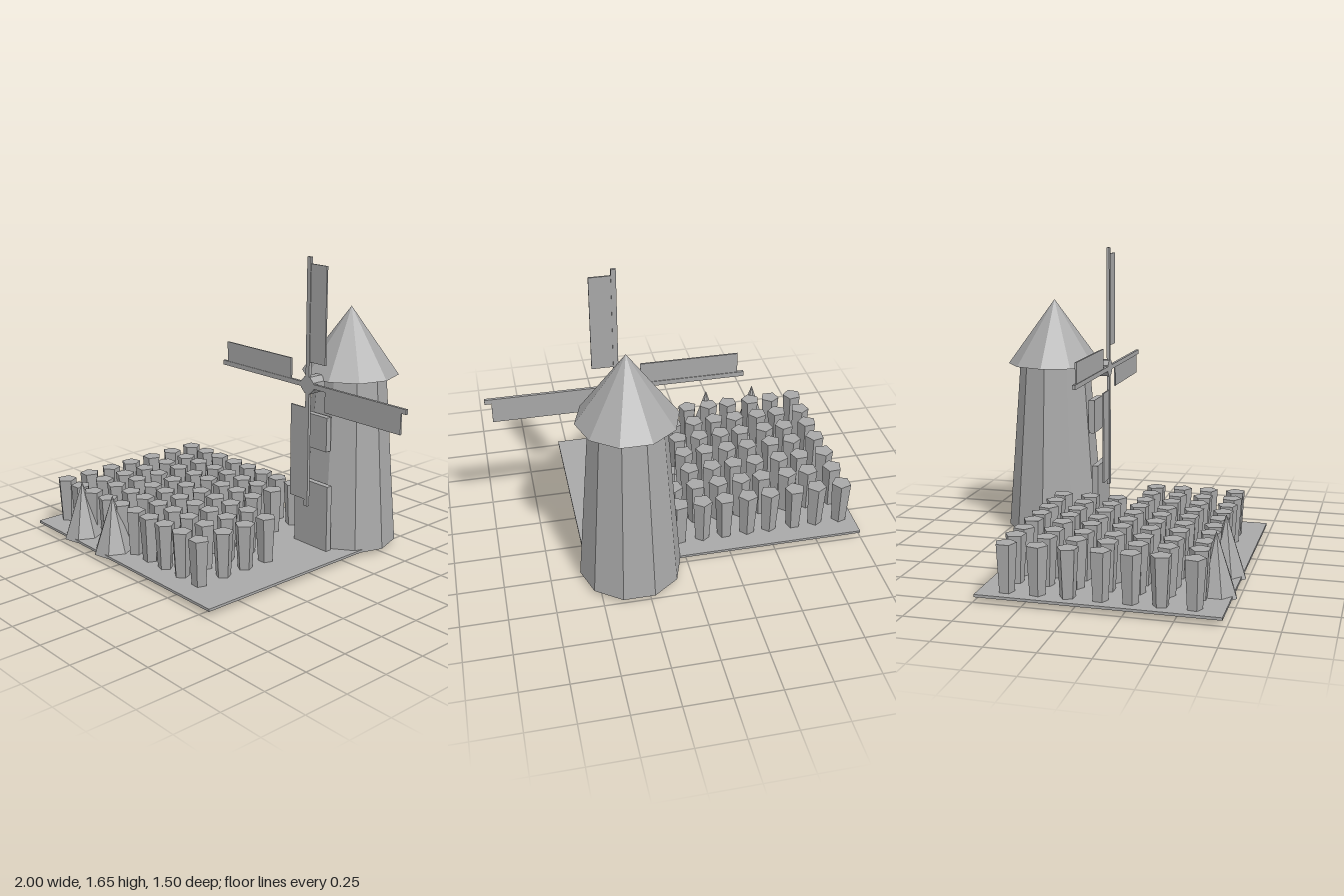
import * as THREE from 'three';

export function createModel() {
  const root = new THREE.Group();
  root.name = 'windmillField';
  const stone = new THREE.MeshStandardMaterial({ color: 0xa8a8a8, flatShading: true });
  stone.name = 'plain grey';

  const add = (parent, name, geometry, x, y, z) => {
    const mesh = new THREE.Mesh(geometry, stone);
    mesh.name = name;
    mesh.position.set(x, y, z);
    parent.add(mesh);
    return mesh;
  };
  const box = (w, h, d) => new THREE.BoxGeometry(w, h, d);

  // Ground slab
  add(root, 'ground', box(1.55, 0.014, 1.222), -0.223, 0.034, 0.117);

  // Tapered ten-sided tower with a pointed roof
  const mill = new THREE.Group();
  mill.name = 'mill';
  mill.position.set(0.314, 0, -0.491);
  root.add(mill);
  const tower = new THREE.CylinderGeometry(0.2, 0.276, 0.966, 10).rotateY(Math.PI / 10);
  add(mill, 'tower', tower, 0, 0.507, 0);
  const roof = new THREE.ConeGeometry(0.267, 0.368, 10).rotateY(Math.PI / 10);
  add(mill, 'roof', roof, 0, 1.17, 0);
  add(mill, 'door', box(0.25, 0.415, 0.034), 0, 0.2075, 0.273);
  add(mill, 'window', box(0.16, 0.192, 0.034), 0, 0.692, 0.241);

  // Rotor: axle and four arms, each with a sail on its clockwise side
  const rotor = new THREE.Group();
  rotor.name = 'rotor';
  rotor.position.set(0.314, 0.968, -0.169);
  root.add(rotor);
  const axle = new THREE.CylinderGeometry(0.05, 0.05, 0.088, 8).rotateY(Math.PI / 8).rotateX(Math.PI / 2);
  add(rotor, 'axle', axle, 0, 0, -0.036);
  for (let i = 0; i < 4; i++) {
    const arm = new THREE.Group();
    arm.name = 'arm';
    arm.rotation.z = i * Math.PI / 2;
    rotor.add(arm);
    add(arm, 'spar', box(0.026, 0.685, 0.016), 0, 0.3425, 0);
    add(arm, 'sail', box(0.126, 0.522, 0.009), 0.063, 0.389, 0);
  }

  // Crop rows: five-sided stalks, wider at the top
  const columns = [-0.915, -0.77, -0.645, -0.5, -0.375, -0.245, -0.115, 0.015, 0.155, 0.3];
  const rows = [-0.355, -0.195, -0.04, 0.12, 0.27, 0.42, 0.58];
  const stalk = new THREE.CylinderGeometry(0.056, 0.04, 0.266, 5).rotateY(Math.PI / 2);
  const crops = new THREE.Group();
  crops.name = 'crops';
  root.add(crops);
  rows.forEach((z, r) => {
    // The back rows stop short of the mill
    const count = r < 3 ? 8 : 10;
    for (let c = 0; c < count; c++) {
      const plant = add(crops, 'stalk', stalk, columns[c], 0.157, z);
      plant.rotation.y = 0.3 * Math.sin(c * 2.3 + r * 4.1);
    }
  });

  // Two pointed trees at the front edge
  const cone = new THREE.ConeGeometry(0.113, 0.327, 7).rotateY(Math.PI / 2);
  for (const x of [-0.668, -0.374]) add(root, 'tree', cone, x, 0.1875, 0.638);

  return root;
}
